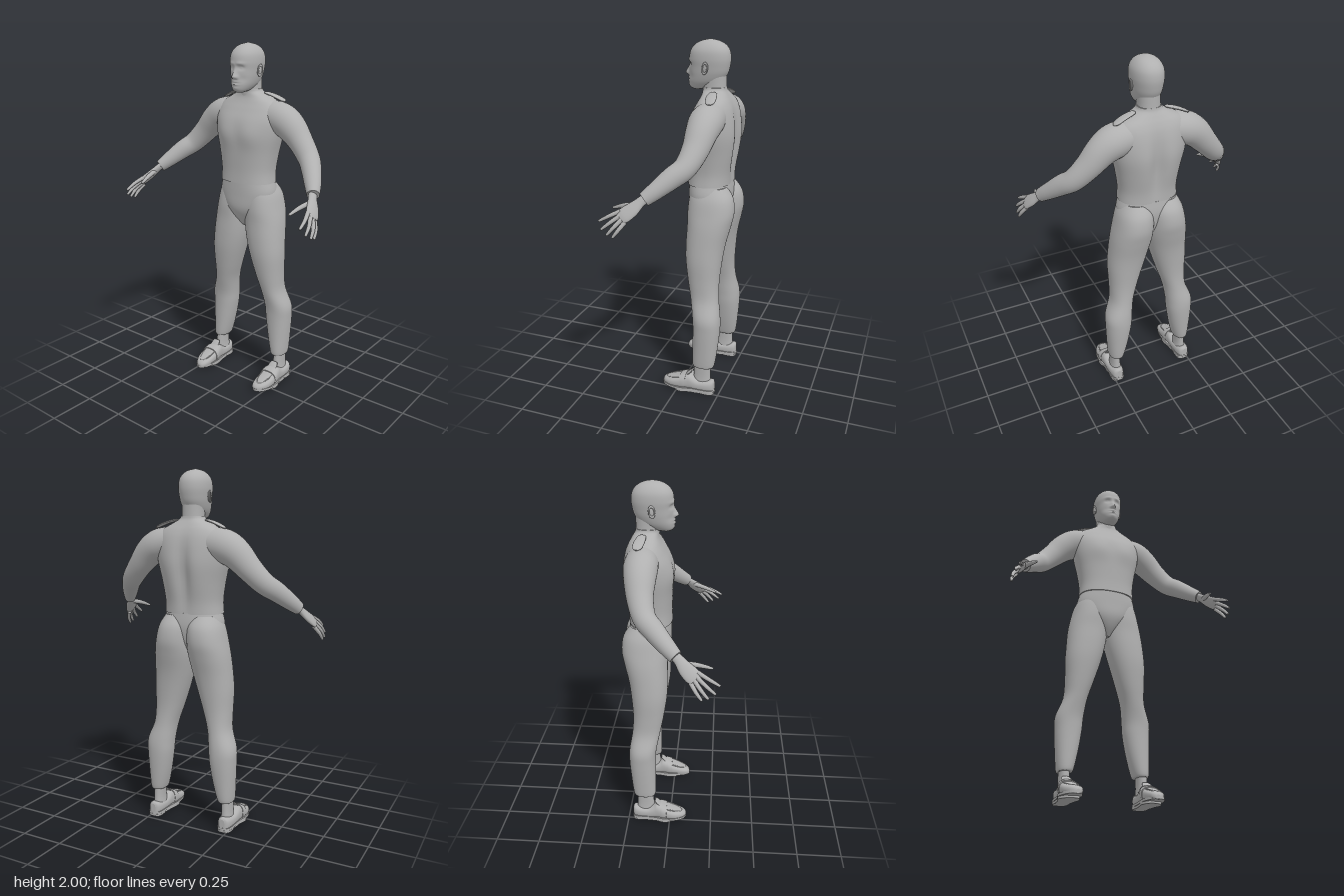
import * as THREE from 'three';

const V = (x, y, z) => new THREE.Vector3(x, y, z);
const bell = (d, w) => Math.exp(-(d * d) / (w * w));

// Smoothly resample rows of numbers, column by column
function resample(rows, steps) {
  const out = [];
  const n = rows.length - 1;
  for (let i = 0; i < n; i++) {
    const p0 = rows[Math.max(i - 1, 0)], p1 = rows[i], p2 = rows[i + 1], p3 = rows[Math.min(i + 2, n)];
    for (let s = 0; s < steps; s++) {
      const t = s / steps;
      out.push(p1.map((b, k) => {
        const a = p0[k], c = p2[k], d = p3[k];
        return 0.5 * (2 * b + (c - a) * t + (2 * a - 5 * b + 4 * c - d) * t * t + (3 * b - a - 3 * c + d) * t * t * t);
      }));
    }
  }
  out.push(rows[n].slice());
  return out;
}

// Skin a list of closed rings, with flat caps at both ends
function loft(rings) {
  const n = rings[0].length, pos = [], idx = [];
  const put = (p) => pos.push(p.x, p.y, p.z);
  rings.forEach((r) => r.forEach(put));
  for (let i = 0; i < rings.length - 1; i++) {
    for (let j = 0; j < n; j++) {
      const a = i * n + j, b = i * n + (j + 1) % n;
      idx.push(a, b, a + n, b, b + n, a + n);
    }
  }
  for (const [ring, end] of [[rings[0], false], [rings[rings.length - 1], true]]) {
    const base = pos.length / 3;
    ring.forEach(put);
    put(ring.reduce((s, p) => s.add(p), V(0, 0, 0)).divideScalar(n));
    for (let j = 0; j < n; j++) {
      const a = base + j, b = base + (j + 1) % n;
      idx.push(base + n, end ? a : b, end ? b : a);
    }
  }
  const g = new THREE.BufferGeometry();
  g.setAttribute('position', new THREE.Float32BufferAttribute(pos, 3));
  g.setIndex(idx);
  g.computeVertexNormals();
  return g;
}

// Ring of a superellipse around centre c with half axes u and v
function ring(c, u, v, n, power = 2) {
  return Array.from({ length: n }, (_, j) => {
    const a = (j / n) * Math.PI * 2, e = 2 / power;
    const f = (s) => Math.sign(s) * Math.pow(Math.abs(s), e);
    return c.clone().addScaledVector(u, f(Math.cos(a))).addScaledVector(v, f(Math.sin(a)));
  });
}

// Body stack, bottom to top: rows of [y, xMin, xMax, zFront, zBack]; sculpt moves points
function stack(rows, { n = 48, steps = 5, power = 2.2, sculpt } = {}) {
  return loft(resample(rows, steps).map(([y, x0, x1, zf, zb]) => {
    const pts = ring(V((x0 + x1) / 2, y, (zf + zb) / 2), V((x1 - x0) / 2, 0, 0), V(0, 0, (zb - zf) / 2), n, power);
    if (sculpt) pts.forEach((p) => sculpt(p, (p.z - (zf + zb) / 2) / ((zf - zb) / 2)));
    return pts;
  }));
}
const even = (rows) => rows.map(([y, w, f, b]) => [y, -w, w, f, b]);

// Limb along a path: rows of [x, y, z, radiusAlongHint, otherRadius]
function limb(rows, hint, n = 20, steps = 5) {
  const r = resample(rows, steps), pts = r.map((q) => V(q[0], q[1], q[2]));
  return loft(pts.map((p, i) => {
    const t = pts[Math.min(i + 1, pts.length - 1)].clone().sub(pts[Math.max(i - 1, 0)]).normalize();
    const u = hint.clone().addScaledVector(t, -hint.dot(t)).normalize();
    const v = t.clone().cross(u);
    return ring(p, u.multiplyScalar(r[i][3]), v.multiplyScalar(r[i][4]), n);
  }));
}

function mirrored(geo) {
  const g = geo.clone().scale(-1, 1, 1), ix = g.index.array;
  for (let i = 0; i < ix.length; i += 3) [ix[i], ix[i + 1]] = [ix[i + 1], ix[i]];
  g.computeVertexNormals();
  return g;
}

export function createModel() {
  const model = new THREE.Group();
  model.name = 'standingMan';
  const grey = new THREE.MeshStandardMaterial({ color: 0xb0b0b0 });
  grey.name = 'plain grey';
  const add = (name, geo) => {
    const m = new THREE.Mesh(geo, grey);
    m.name = name;
    model.add(m);
  };
  const pair = (name, geo) => { add(name + 'Left', geo); add(name + 'Right', mirrored(geo)); };

  // Sweater body with chest, and a groove down the spine
  add('sweater', stack(even([
    [1.23, 0.168, 0.002, -0.238], [1.3, 0.165, 0, -0.24], [1.4, 0.18, 0.003, -0.252], [1.5, 0.203, 0.004, -0.262],
    [1.58, 0.212, -0.008, -0.258], [1.64, 0.205, -0.035, -0.247], [1.68, 0.175, -0.056, -0.232],
    [1.71, 0.12, -0.068, -0.215], [1.735, 0.074, -0.07, -0.2], [1.752, 0.064, -0.068, -0.196],
  ]), {
    n: 72, power: 2.35, sculpt: (p, f) => {
      if (f > 0) p.z += 0.012 * f * bell(Math.abs(p.x) - 0.085, 0.07) * bell(p.y - 1.51, 0.07);
      else {
        const h = bell(p.y - 1.45, 0.17);
        p.z += -f * h * (0.022 * bell(p.x, 0.035) - 0.01 * bell(Math.abs(p.x) - 0.09, 0.06));
      }
    },
  }));

  // Trousers: hips and two legs
  add('trouserHips', stack(even([
    [0.965, 0.02, -0.07, -0.16], [1.02, 0.08, -0.03, -0.2], [1.08, 0.14, -0.006, -0.228],
    [1.16, 0.178, -0.003, -0.242], [1.235, 0.163, -0.003, -0.236],
  ])));
  pair('trouserLeg', stack([
    [0.165, 0.185, 0.258, -0.097, -0.203], [0.18, 0.173, 0.265, -0.086, -0.217], [0.28, 0.148, 0.272, -0.085, -0.23],
    [0.4, 0.127, 0.278, -0.085, -0.24], [0.48, 0.12, 0.276, -0.08, -0.238], [0.58, 0.106, 0.24, -0.06, -0.222],
    [0.68, 0.075, 0.235, -0.04, -0.217], [0.8, 0.037, 0.238, -0.022, -0.226], [0.9, 0.01, 0.232, -0.018, -0.24],
    [1.0, -0.008, 0.222, -0.02, -0.264], [1.08, -0.01, 0.206, -0.018, -0.279], [1.16, -0.008, 0.186, -0.025, -0.268],
    [1.22, 0.01, 0.155, -0.04, -0.228],
  ]));

  // Sleeves and cuffs
  const up = V(0, 0.7, 0.7);
  pair('sleeve', limb([
    [0.11, 1.61, -0.15, 0.085, 0.085], [0.2, 1.595, -0.15, 0.092, 0.09], [0.27, 1.553, -0.148, 0.083, 0.083],
    [0.34, 1.48, -0.14, 0.07, 0.068], [0.41, 1.405, -0.112, 0.06, 0.06], [0.46, 1.36, -0.06, 0.056, 0.054],
    [0.51, 1.305, 0.003, 0.046, 0.045], [0.54, 1.27, 0.045, 0.039, 0.036], [0.547, 1.262, 0.055, 0.036, 0.033],
  ], up, 32));

  // Hands: palm, four fingers and thumb
  const spread = V(-0.35, 0.55, 0.65);
  pair('palm', limb([
    [0.53, 1.283, 0.03, 0.026, 0.02], [0.553, 1.25, 0.07, 0.027, 0.018], [0.578, 1.215, 0.105, 0.038, 0.018],
    [0.598, 1.187, 0.14, 0.042, 0.015], [0.608, 1.172, 0.157, 0.034, 0.01],
  ], spread));
  [ // knuckle, middle joint, tip
    [[0.588, 1.203, 0.165], [0.606, 1.176, 0.22], [0.612, 1.147, 0.272]],
    [[0.6, 1.185, 0.16], [0.624, 1.148, 0.208], [0.633, 1.112, 0.252]],
    [[0.608, 1.168, 0.15], [0.634, 1.128, 0.185], [0.643, 1.09, 0.218]],
    [[0.61, 1.155, 0.132], [0.634, 1.116, 0.16], [0.643, 1.08, 0.187]],
    [[0.56, 1.235, 0.09], [0.54, 1.218, 0.165], [0.524, 1.195, 0.232]],
  ].forEach(([a, b, c], i) => {
    const k = i === 4 ? 1.2 : 1, tip = c.map((q, j) => q + (c[j] - b[j]) * 0.07);
    pair(['indexFinger', 'middleFinger', 'ringFinger', 'littleFinger', 'thumb'][i], limb([
      [...a, 0.012 * k, 0.012 * k], [...b, 0.0105 * k, 0.0105 * k], [...c, 0.007, 0.007], [...tip, 0.002, 0.002],
    ], spread, 12));
  });

  // Shoulder tabs
  pair('shoulderTab', limb([
    [0.085, 1.732, -0.15, 0.008, 0.003], [0.1, 1.73, -0.152, 0.022, 0.007], [0.15, 1.716, -0.16, 0.029, 0.008],
    [0.195, 1.697, -0.168, 0.025, 0.007], [0.21, 1.689, -0.17, 0.008, 0.003],
  ], V(0, 0, 1)));

  // Neck and head, with the face sculpted on the front
  add('neck', stack(even([[1.7, 0.062, -0.07, -0.197], [1.76, 0.059, -0.066, -0.195], [1.83, 0.06, -0.06, -0.195]])));
  add('head', stack(even([
    [1.738, 0.022, -0.012, -0.06], [1.75, 0.042, 0.006, -0.11], [1.78, 0.062, 0.012, -0.17], [1.82, 0.074, 0.01, -0.2],
    [1.86, 0.08, 0.007, -0.212], [1.9, 0.084, 0.009, -0.217], [1.94, 0.08, 0.002, -0.211], [1.97, 0.064, -0.02, -0.19],
    [1.99, 0.04, -0.055, -0.155], [2.0, 0.006, -0.1, -0.112],
  ]), {
    n: 120, steps: 8, power: 2.15, sculpt: (p, f) => {
      if (f <= 0) return;
      const ax = Math.abs(p.x), y = p.y;
      const nose = y > 1.822 ? bell(y - 1.822, 0.035) : bell(y - 1.822, 0.01);
      p.z += f * (0.024 * nose * bell(p.x, 0.013) + 0.008 * bell(ax - 0.014, 0.008) * bell(y - 1.822, 0.01)
        - 0.011 * bell(ax - 0.031, 0.017) * bell(y - 1.872, 0.012) + 0.005 * bell(ax - 0.03, 0.024) * bell(y - 1.893, 0.009)
        + 0.005 * bell(ax - 0.031, 0.009) * bell(y - 1.871, 0.006) - 0.005 * bell(ax - 0.045, 0.018) * bell(y - 1.81, 0.02)
        + 0.007 * bell(p.x, 0.02) * (bell(y - 1.798, 0.005) + bell(y - 1.783, 0.006))
        - 0.004 * bell(p.x, 0.024) * bell(y - 1.79, 0.003) + 0.004 * bell(p.x, 0.02) * bell(y - 1.762, 0.01));
    },
  }));
  // Ears: shell and raised rim
  const place = (g) => g.rotateX(-0.15).rotateY(-0.25).translate(0.082, 1.855, -0.103);
  pair('ear', place(new THREE.SphereGeometry(1, 20, 14).scale(0.008, 0.031, 0.017)));
  pair('earRim', place(new THREE.TorusGeometry(0.015, 0.004, 8, 24).rotateY(Math.PI / 2).scale(1, 1.8, 1).translate(0.005, 0, 0)));

  // Ankles
  pair('ankle', stack([[0.05, 0.19, 0.258, -0.09, -0.2], [0.11, 0.196, 0.252, -0.095, -0.195], [0.2, 0.193, 0.253, -0.1, -0.195]], { n: 24 }));

  // Shoes: sole, heel block, upper, strap and toe seam
  const outline = [[0.228, -0.224], [0.262, -0.212], [0.27, -0.16], [0.272, -0.1], [0.285, -0.03], [0.28, 0.03],
    [0.255, 0.083], [0.217, 0.1], [0.19, 0.08], [0.175, 0.03], [0.172, -0.03], [0.182, -0.1], [0.186, -0.16], [0.194, -0.212]];
  const sole = new THREE.Shape(new THREE.SplineCurve([...outline, outline[0]].map(([x, z]) => new THREE.Vector2(x, -z))).getPoints(56));
  const slab = (h, y) => {
    const g = new THREE.ExtrudeGeometry(sole, { depth: h, bevelEnabled: false }).rotateX(-Math.PI / 2).translate(0, y, 0);
    g.setIndex([...Array(g.attributes.position.count).keys()]);
    return g;
  };
  pair('sole', slab(0.014, 0.013));
  pair('frontTread', slab(0.013, 0).translate(-0.228, 0, -0.1).scale(0.97, 1, 0.6).translate(0.228, 0, 0.04));
  pair('heelBlock', stack([[0, 0.188, 0.268, -0.125, -0.223], [0.014, 0.187, 0.269, -0.12, -0.224]], { n: 32, power: 3.2 }));

  // Upper sections along the foot: [z, centre x, half width, top]
  const foot = (rows, power = 2.5) => loft(resample(rows, 4).map(([z, cx, w, top]) =>
    ring(V(cx, (top + 0.01) / 2, z), V(w, 0, 0), V(0, (top - 0.01) / 2, 0), 36, power)));
  pair('shoeUpper', foot([
    [-0.222, 0.228, 0.014, 0.075], [-0.212, 0.228, 0.031, 0.086], [-0.18, 0.228, 0.04, 0.083], [-0.13, 0.228, 0.043, 0.082],
    [-0.095, 0.228, 0.046, 0.1], [-0.075, 0.228, 0.048, 0.113], [-0.04, 0.228, 0.053, 0.101], [0, 0.228, 0.054, 0.084],
    [0.04, 0.226, 0.05, 0.069], [0.075, 0.221, 0.037, 0.056], [0.092, 0.218, 0.022, 0.044], [0.098, 0.217, 0.01, 0.034],
  ]));
  pair('shoeStrap', foot([[-0.055, 0.228, 0.053, 0.111], [-0.04, 0.228, 0.056, 0.106], [-0.018, 0.228, 0.057, 0.097]]));
  pair('shoeTongue', limb([[0.228, 0.094, -0.05, 0.026, 0.006], [0.228, 0.116, -0.075, 0.028, 0.007], [0.228, 0.13, -0.089, 0.02, 0.004]], V(1, 0, 0)));
  const seam = [[-0.036, 0.084, -0.02], [-0.035, 0.072, 0.02], [-0.025, 0.06, 0.055], [-0.006, 0.054, 0.074],
    [0.014, 0.057, 0.062], [0.03, 0.07, 0.022], [0.036, 0.084, -0.02]];
  pair('toeSeam', new THREE.TubeGeometry(new THREE.CatmullRomCurve3(seam.map(([x, y, z]) => V(x + 0.228, y, z))), 40, 0.004, 6));
  return model;
}
